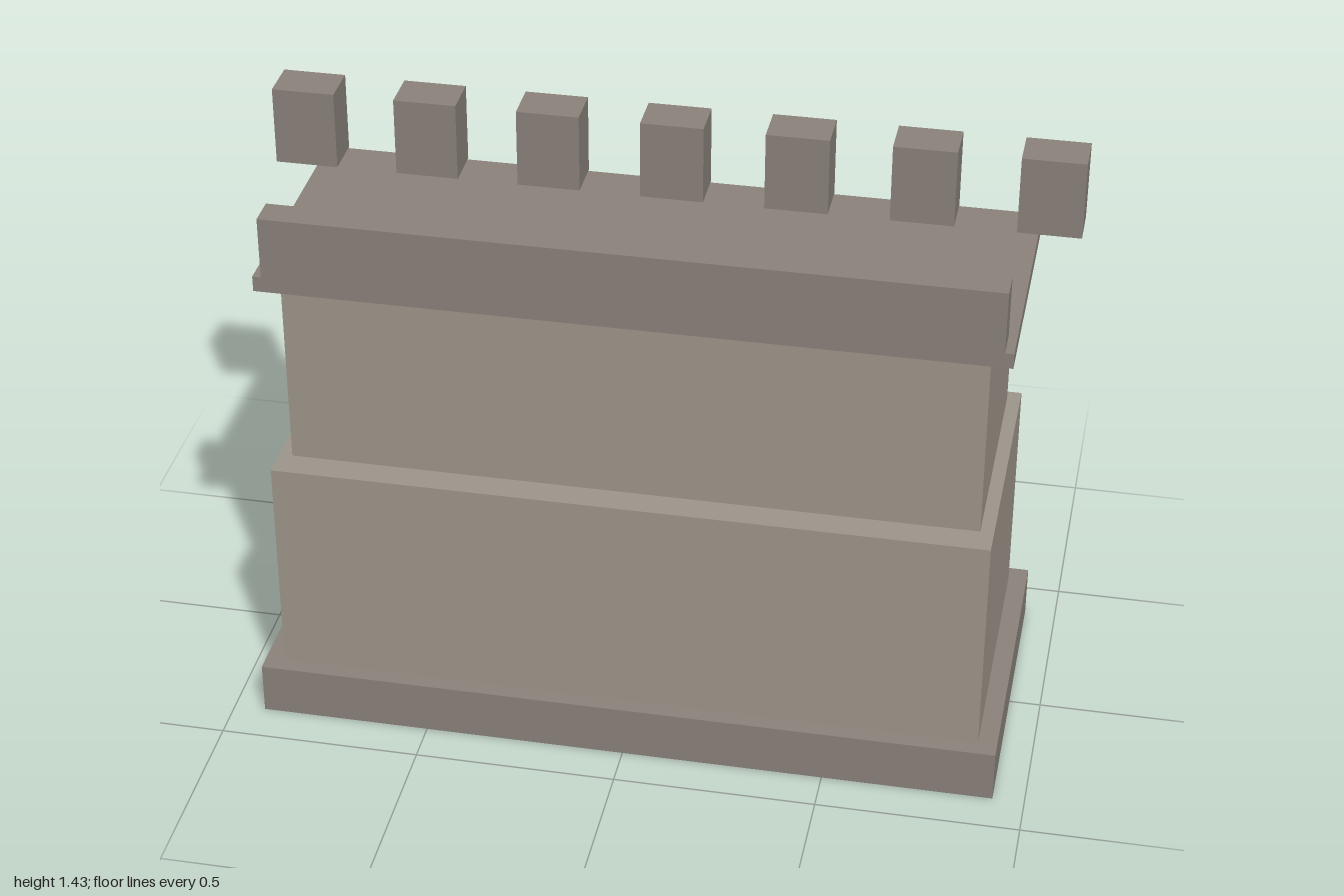
import * as THREE from 'three';

const wallMaterial = new THREE.MeshStandardMaterial({ color: 0x9e968b });
const trimMaterial = new THREE.MeshStandardMaterial({ color: 0x8b837b });

// Box given by its half width and its y and z ranges
function block(name, material, halfWidth, [y0, y1], [z0, z1], x = 0) {
  const mesh = new THREE.Mesh(new THREE.BoxGeometry(halfWidth * 2, y1 - y0, z1 - z0), material);
  mesh.position.set(x, (y0 + y1) / 2, (z0 + z1) / 2);
  mesh.name = name;
  return mesh;
}

export function createModel() {
  const model = new THREE.Group();
  model.name = 'castleWall';

  // Stepped wall body, from the ground up
  model.add(
    block('basePlinth', trimMaterial, 0.922, [0, 0.133], [-0.394, 0.394]),
    block('lowerWall', wallMaterial, 0.875, [0.133, 0.703], [-0.35, 0.35]),
    block('upperWall', wallMaterial, 0.842, [0.703, 1.188], [-0.318, 0.277]),
    block('walkway', trimMaterial, 0.896, [1.188, 1.227], [-0.338, 0.319]),
    block('frontParapet', trimMaterial, 0.875, [1.227, 1.384], [0.243, 0.319])
  );

  // Row of merlons along the back edge, the outer two overhanging the ends
  const merlons = new THREE.Group();
  merlons.name = 'merlons';
  const count = 7, halfWidth = 0.078, spacing = 2 * (1 - halfWidth) / (count - 1);
  for (let i = 0; i < count; i++) {
    const x = (i - (count - 1) / 2) * spacing;
    merlons.add(block('merlon', trimMaterial, halfWidth, [1.227, 1.428], [-0.345, -0.236], x));
  }
  model.add(merlons);

  return model;
}
